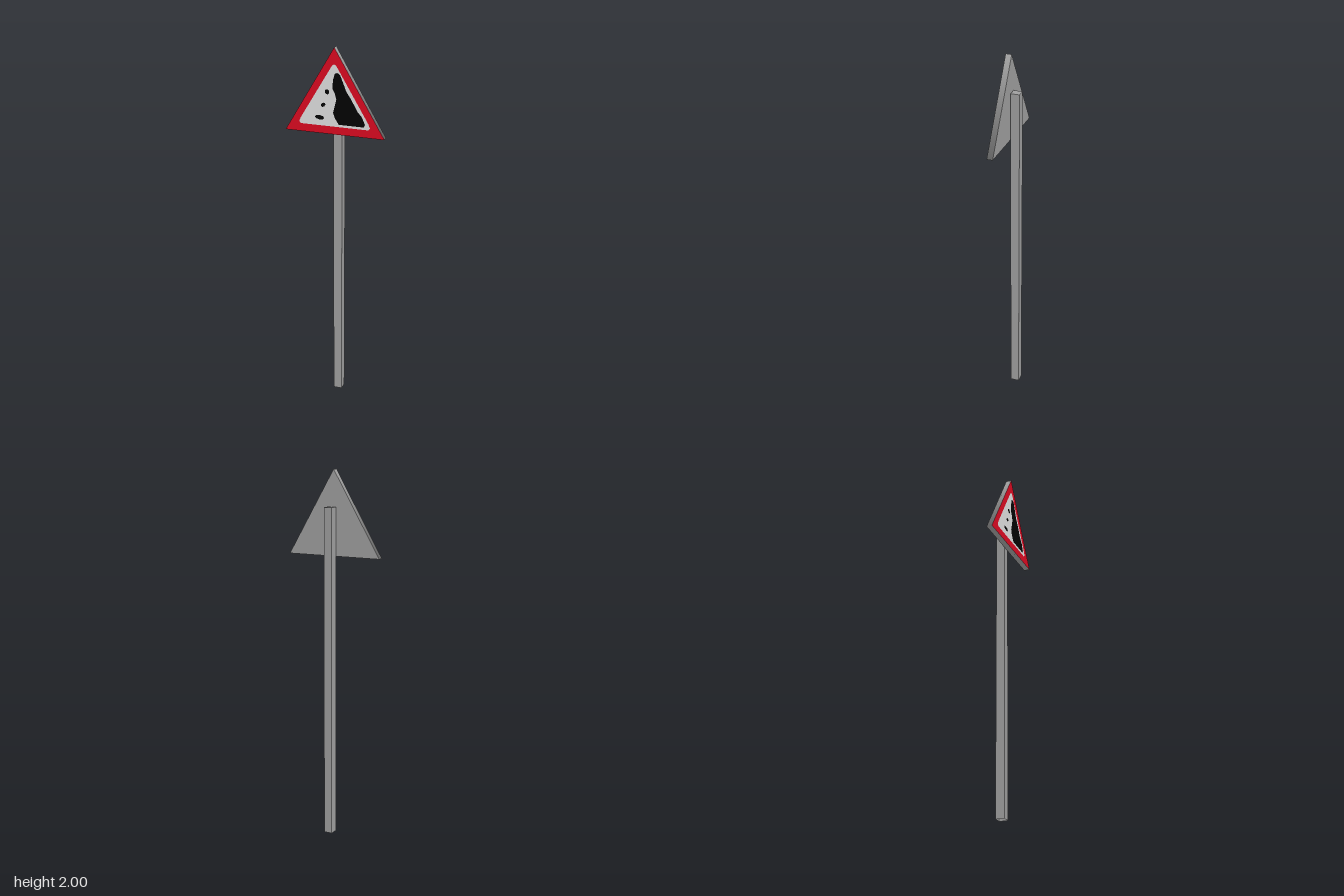
import * as THREE from 'three';

const material = (name, color, side = THREE.FrontSide) => {
  const m = new THREE.MeshStandardMaterial({ color, side });
  m.name = name;
  return m;
};

const outline = (points) => new THREE.Shape(points.map(([x, y]) => new THREE.Vector2(x, y)));

export function createModel() {
  const group = new THREE.Group();
  group.name = 'warningSign';

  const steel = material('steelGrey', 0xa1a1a1, THREE.DoubleSide);
  const red = material('borderRed', 0xdf0a22);
  const white = material('panelWhite', 0xe2e2e2);
  const black = material('symbolBlack', 0x020202);

  const add = (name, geometry, mat, x = 0, y = 0, z = 0) => {
    const mesh = new THREE.Mesh(geometry, mat);
    mesh.name = name;
    mesh.position.set(x, y, z);
    group.add(mesh);
  };

  // Square hollow post, open underneath, slightly off centre behind the plate
  const post = new THREE.BoxGeometry(0.047, 1.805, 0.048);
  post.setIndex([...post.index.array].filter((_, i) => i < 18 || i >= 24));
  post.clearGroups();
  add('post', post, steel, 0.006, 0.9025, -0.019);

  // Triangular plate with softly shaded rim and a red front
  const radius = 0.27 / Math.sin(Math.PI / 3);
  const squash = 0.454 / (1.5 * radius);
  const plate = new THREE.CylinderGeometry(radius, radius, 0.032, 3, 1, false, Math.PI);
  plate.rotateX(Math.PI / 2).scale(1, squash, 1);
  add('plate', plate, [steel, red, steel], 0, 2 - radius * squash, 0.025);

  // Painted front, in thin layers: white panel, then black symbols
  const paint = (name, shape, mat, layer) =>
    add(name, new THREE.ShapeGeometry(shape, 4), mat, 0, 0, 0.041 + layer * 0.0008);

  paint('whitePanel', outline([
    [-0.184, 1.588], [0.184, 1.588], [0.193, 1.598], [0.185, 1.619],
    [0.012, 1.906], [0, 1.915], [-0.012, 1.906], [-0.185, 1.619], [-0.193, 1.598],
  ]), white, 1);

  // Cliff face
  paint('cliff', outline([
    [0.025, 1.601], [0.16, 1.601], [0.166, 1.615], [0.15, 1.653], [0.125, 1.681],
    [0.092, 1.74], [0.066, 1.778], [0.048, 1.823], [0.033, 1.86], [0.018, 1.872],
    [0.003, 1.866], [-0.006, 1.833], [-0.01, 1.788], [0.004, 1.763], [0.012, 1.733],
    [0.003, 1.698], [-0.006, 1.663], [0.004, 1.633],
  ]), black, 2);

  // Falling rocks: centre, half sizes, tilt
  const rocks = [
    [-0.038, 1.769, 0.012, 0.014, 0.3],
    [-0.06, 1.699, 0.014, 0.01, 0.6],
    [-0.08, 1.631, 0.026, 0.012, -0.1],
  ];
  for (const [x, y, a, b, tilt] of rocks) {
    const rock = new THREE.Shape();
    rock.absellipse(x, y, a, b, 0, Math.PI * 2, false, tilt);
    paint('fallingRock', rock, black, 2);
  }

  return group;
}
